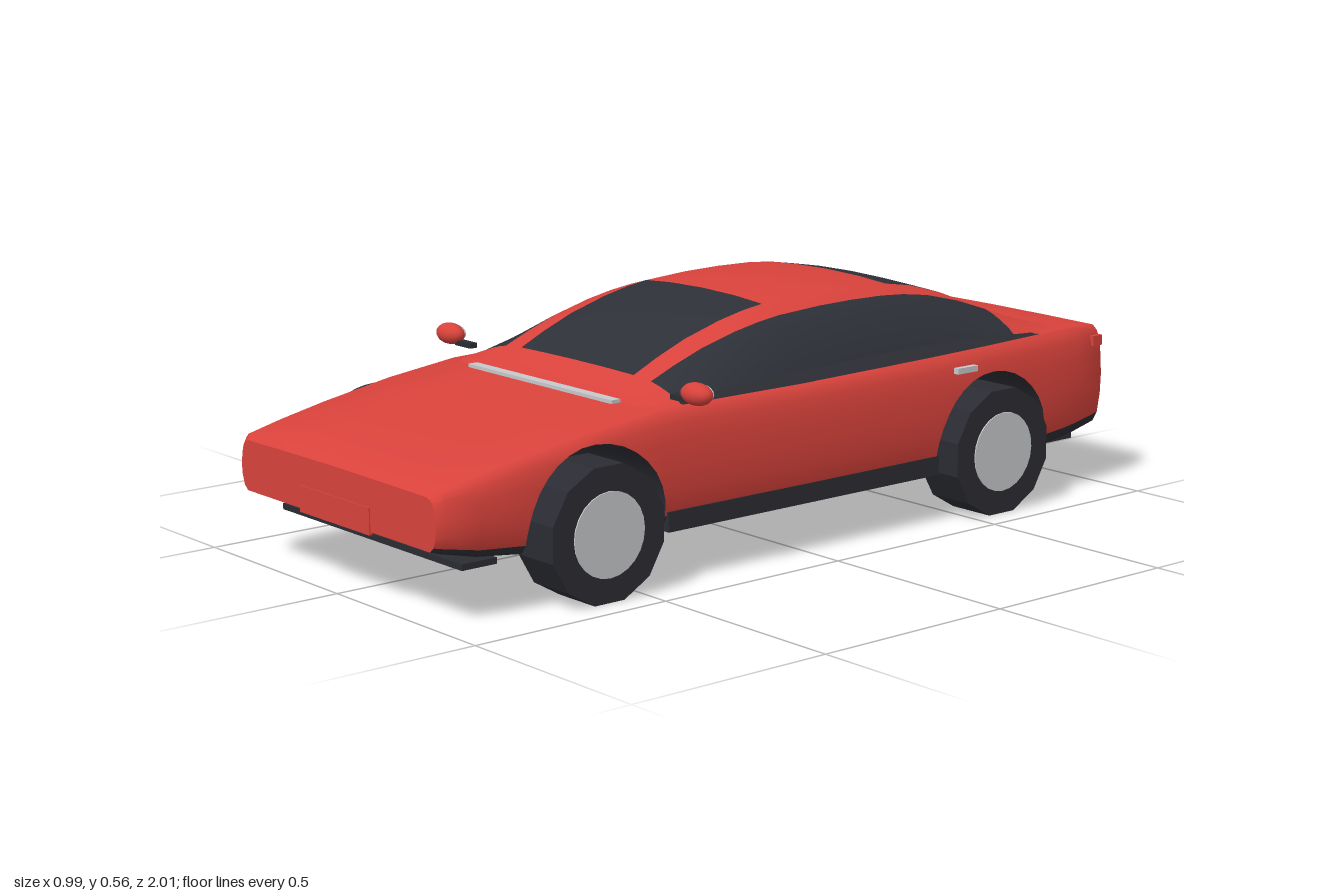
import * as THREE from 'three';
import { toCreasedNormals } from 'three/addons/utils/BufferGeometryUtils.js';

const mat = (name, color) => new THREE.MeshStandardMaterial({ name, color, side: THREE.DoubleSide });

// Linear lookup in [z, value] pairs, listed front to back
function at(table, z) {
  for (let i = 1; i < table.length; i++) {
    const [z0, a] = table[i - 1], [z1, b] = table[i];
    if (z >= z1) return a + (b - a) * Math.min(1, Math.max(0, (z0 - z) / (z0 - z1)));
  }
  return table[table.length - 1][1];
}

// Lofts rows of [x, y, z]; pick(i, j) gives a material index, or -1 for an opening
function loft(rows, pick, closed) {
  const n = rows[0].length, pos = rows.flat(2), buckets = [[], []];
  for (let i = 0; i < rows.length - 1; i++) {
    for (let j = 0; j < (closed ? n : n - 1); j++) {
      const m = pick(i, j);
      if (m < 0) continue;
      const a = i * n + j, b = i * n + (j + 1) % n;
      buckets[m].push(a, a + n, b, b, a + n, b + n);
    }
  }
  if (closed) {
    // end caps
    [0, rows.length - 1].forEach((i) => {
      const c = pos.length / 3;
      pos.push(0, (rows[i][0][1] + rows[i][n >> 1][1]) / 2, rows[i][0][2]);
      for (let j = 0; j < n; j++) {
        const a = i * n + j, b = i * n + (j + 1) % n;
        buckets[0].push(...(i === 0 ? [c, a, b] : [c, b, a]));
      }
    });
  }
  const geo = new THREE.BufferGeometry();
  geo.setAttribute('position', new THREE.Float32BufferAttribute(pos, 3));
  geo.setIndex(buckets.flat());
  geo.addGroup(0, buckets[0].length, 0);
  geo.addGroup(buckets[0].length, buckets[1].length, 1);
  return toCreasedNormals(geo, 0.7);
}

// Mirrors a half section that runs from +x to the centre line
const mirror = (half) => [...half, ...half.slice(0, -1).reverse().map(([x, y, z]) => [-x, y, z])];

const WIDTH = [[1, 0.37], [0.985, 0.383], [0.9, 0.393], [0.6, 0.405], [0, 0.41], [-0.6, 0.408], [-0.85, 0.4], [-0.985, 0.383], [-1, 0.37]];
const DECK = [[1, 0.28], [0.985, 0.293], [0.8, 0.33], [0.6, 0.363], [0.4, 0.387], [0, 0.387], [-0.4, 0.393], [-0.8, 0.402], [-0.97, 0.402], [-1, 0.392]];
const BASE = [[1, 0.165], [0.9, 0.143], [0.785, 0.13], [0, 0.125], [-0.785, 0.13], [-0.9, 0.143], [-1, 0.16]];
const ROOF = [[0.43, 0.388], [0.39, 0.403], [0.345, 0.428], [0.28, 0.46], [0.2, 0.494], [0.1, 0.525], [0.03, 0.541], [-0.03, 0.55], [-0.15, 0.558],
  [-0.25, 0.56], [-0.35, 0.558], [-0.42, 0.552], [-0.5, 0.538], [-0.6, 0.508], [-0.7, 0.468], [-0.77, 0.438], [-0.83, 0.416], [-0.88, 0.402]];
const SIDE = [[1, 0.92], [0.96, 0.95], [0.88, 0.975], [0.72, 0.99], [0.5, 1], [0.3, 0.995], [0.1, 0.975], [0, 0.94]];
const AXLES = [0.6, -0.59], ARCH = 0.185, HUB = 0.155;

export function createModel() {
  const car = new THREE.Group();
  const red = mat('red paint', 0xd8423b), dark = mat('dark trim', 0x2b2c33);
  const glass = mat('dark glass', 0x2e3038), silver = mat('silver', 0xc6c8cb);

  const add = (name, geo, material, x = 0, y = 0, z = 0) => {
    const m = new THREE.Mesh(geo, material);
    m.name = name;
    m.position.set(x, y, z);
    car.add(m);
    return m;
  };
  const box = (name, material, w, h, d, x, y, z) => add(name, new THREE.BoxGeometry(w, h, d), material, x, y, z);

  // Lower body: the bottom edge rises over each axle to form the wheel tunnels
  const flat = (list) => list.map((z) => [z, at(BASE, z)]);
  const tunnel = (c) => [
    [c + ARCH, at(BASE, c + ARCH)],
    ...Array.from({ length: 17 }, (_, k) => {
      const t = Math.PI * k / 16;
      return [c + ARCH * Math.cos(t), HUB + ARCH * Math.sin(t)];
    }),
    [c - ARCH, at(BASE, c - ARCH)],
  ];
  const stations = [...flat([1, 0.985, 0.9]), ...tunnel(AXLES[0]), ...flat([0.345, 0.2, 0, -0.2, -0.35]),
    ...tunnel(AXLES[1]), ...flat([-0.85, -0.9, -0.985, -1])];
  const bodyRows = stations.map(([z, low]) => {
    const w = at(WIDTH, z), top = at(DECK, z), base = at(BASE, z);
    const half = [...SIDE].reverse().map(([u]) => {
      const y = Math.max(low, base + u * (top - base));
      return [w * at(SIDE, (y - base) / (top - base)), y, z];
    });
    return mirror([...half, [w * 0.5, top + 0.002, z], [0, top + 0.003, z]]);
  });
  const last = bodyRows[0].length - 1;
  add('body', loft(bodyRows, (i, j) => {
    if (j === 0 || j >= last - 1) return 1; // valance and underside
    const inCabin = stations[i][0] < 0.35 && stations[i + 1][0] > -0.78;
    return inCabin && j >= 7 && j < last - 7 ? 1 : 0; // cabin floor
  }, true), [red, dark]);

  // Cabin with windows and an open slit along the belt line
  const CABIN = [[1, 0], [0.965, 0.18], [0.92, 0.36], [0.84, 0.58], [0.78, 0.72], [0.71, 0.84], [0.55, 0.945], [0.3, 0.985], [0, 1]];
  const cabinRows = ROOF.map(([z, top]) => {
    const base = at(DECK, z) - 0.004, w = at(WIDTH, z) * 0.915;
    return mirror(CABIN.map(([fx, fy]) => [w * fx, base + fy * (top - base), z]));
  });
  const n = CABIN.length * 2 - 2;
  add('cabin', loft(cabinRows, (i, j) => {
    const k = Math.min(j, n - 1 - j), front = ROOF[i][0], back = ROOF[i + 1][0];
    if (k === 0) return front < 0.35 && back > -0.78 ? -1 : 0;
    if (k < 5) return front < 0.35 && back > -0.72 ? 1 : 0;
    const screen = (front < 0.35 && back > -0.04) || (front < -0.41 && back > -0.78);
    return k >= 6 && screen ? 1 : 0;
  }, false), [red, glass]);

  // Wheels with twelve-sided tyres
  const tyreGeo = toCreasedNormals(new THREE.CylinderGeometry(0.155, 0.155, 0.12, 12).rotateY(Math.PI / 12).rotateZ(Math.PI / 2), 0.3);
  const rimGeo = new THREE.CylinderGeometry(0.095, 0.095, 0.126, 24).rotateZ(Math.PI / 2);
  for (const z of AXLES) {
    for (const s of [1, -1]) {
      add('tyre', tyreGeo, dark, s * 0.375, 0.152, z);
      add('rim', rimGeo, silver, s * 0.375, 0.152, z);
    }
    // arch flare on the right side only
    const flare = new THREE.CylinderGeometry(ARCH, ARCH, 0.055, 24, 1, true, 0, Math.PI).rotateZ(Math.PI / 2);
    add('archFlare', flare, dark, -0.408, HUB, z);
  }

  // Parts on both sides
  for (const s of [1, -1]) {
    box('sill', dark, 0.03, 0.045, 0.82, s * 0.388, 0.14, 0);
    box('doorHandle', silver, 0.014, 0.014, 0.065, s * 0.412, 0.36, -0.485);
    box('mirrorStalk', dark, 0.06, 0.012, 0.02, s * 0.395, 0.408, 0.365);
    add('mirror', new THREE.SphereGeometry(1, 20, 14), red, s * 0.449, 0.426, 0.37).scale.set(0.044, 0.025, 0.027);
    const face = add('mirrorGlass', new THREE.SphereGeometry(1, 20, 8), silver, s * 0.449, 0.426, 0.352);
    face.scale.set(0.034, 0.019, 0.012);
    box('sideMarker', red, 0.012, 0.025, 0.03, s * 0.382, 0.365, -0.965);
  }

  // Front and rear details
  box('wiper', silver, 0.525, 0.008, 0.025, 0, 0.389, 0.442);
  box('frontPlate', red, 0.265, 0.06, 0.008, 0, 0.188, 0.999);
  box('rearPlate', silver, 0.2, 0.055, 0.008, 0, 0.265, -0.999);
  box('frontSplitter', dark, 0.68, 0.014, 0.09, 0, 0.116, 0.87);
  box('rearDiffuser', dark, 0.6, 0.025, 0.13, 0, 0.117, -0.91);
  for (let i = -2; i <= 2; i++) box('diffuserFin', dark, 0.005, 0.025, 0.13, i * 0.089, 0.098, -0.915);

  return car;
}
